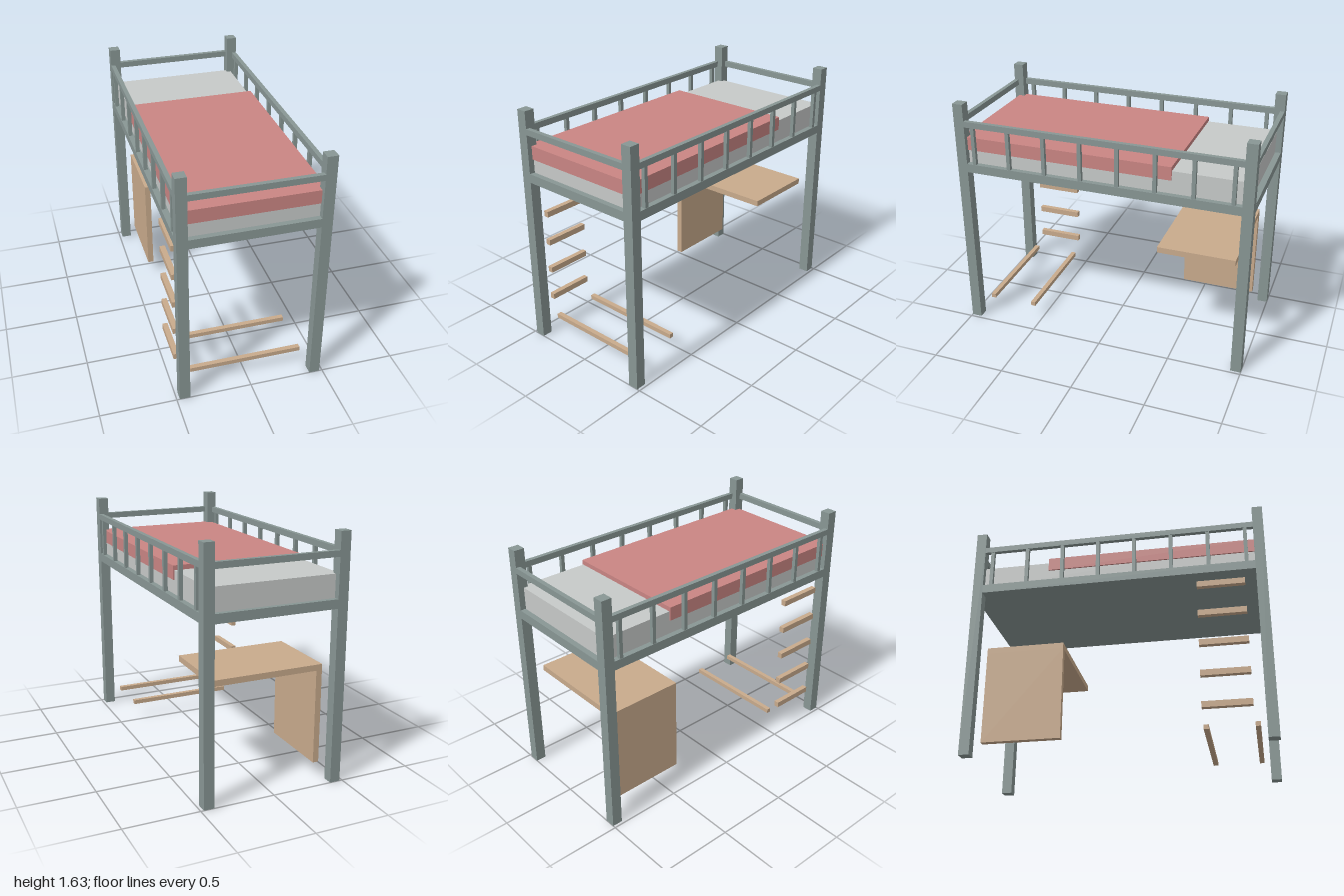
import * as THREE from 'three';

export function createModel() {
  const model = new THREE.Group();
  model.name = 'loftBed';

  const material = (name, color) => {
    const m = new THREE.MeshStandardMaterial({ color });
    m.name = name;
    return m;
  };
  const frame = material('grey green paint', 0x889694);
  const wood = material('light wood', 0xc8aa8c);
  const linen = material('pale grey linen', 0xc6c9c8);
  const red = material('dusty red fabric', 0xc98583);

  // Box given by its limits along each axis
  const box = (name, mat, [x0, x1], [y0, y1], [z0, z1]) => {
    const mesh = new THREE.Mesh(new THREE.BoxGeometry(x1 - x0, y1 - y0, z1 - z0), mat);
    mesh.position.set((x0 + x1) / 2, (y0 + y1) / 2, (z0 + z1) / 2);
    mesh.name = name;
    model.add(mesh);
  };
  // Interval from a to b, mirrored when s is -1
  const side = (s, a, b) => (s > 0 ? [a, b] : [-b, -a]);

  const lowerRail = [1.16, 1.22];
  const upperRail = [1.48, 1.52];

  for (const s of [-1, 1]) {
    // Corner posts
    for (const t of [-1, 1]) box('post', frame, side(s, 0.41, 0.48), [0, 1.635], side(t, 0.93, 1));

    // Long side rails and end rails
    for (const [name, y] of [['lowerRail', lowerRail], ['upperRail', upperRail]]) {
      box(name + 'Side', frame, side(s, 0.45, 0.48), y, [-0.93, 0.93]);
      box(name + 'End', frame, [-0.41, 0.41], y, side(s, 0.97, 1));
    }

    // Guard balusters
    for (let i = 0; i < 8; i++) {
      const z = -0.875 + i * 0.25;
      box('baluster', frame, side(s, 0.4525, 0.4775), [1.22, 1.48], [z - 0.0125, z + 0.0125]);
    }
  }

  // Bed base, mattress and blanket
  box('bedBase', frame, [-0.45, 0.45], [1.16, 1.218], [-0.97, 0.97]);
  box('mattress', linen, [-0.44, 0.44], [1.218, 1.37], [-0.96, 0.96]);
  box('blanket', red, [-0.45, 0.45], [1.31, 1.4], [-0.475, 0.969]);

  // Desk under the back end
  box('deskTop', wood, [-0.38, 0.375], [0.74, 0.78], [-0.895, -0.37]);
  box('deskSide', wood, [-0.38, -0.34], [0.11, 0.74], [-0.895, -0.37]);

  // Ladder rungs on the side
  for (let i = 0; i < 5; i++) {
    const y = 0.235 + i * 0.211;
    box('rung', wood, [-0.48, -0.445], [y - 0.02, y + 0.02], [0.54, 0.855]);
  }

  // Low crossbars
  for (const z of [0.54, 0.858]) box('crossbar', wood, [-0.38, 0.375], [0.11, 0.14], [z, z + 0.032]);

  return model;
}
